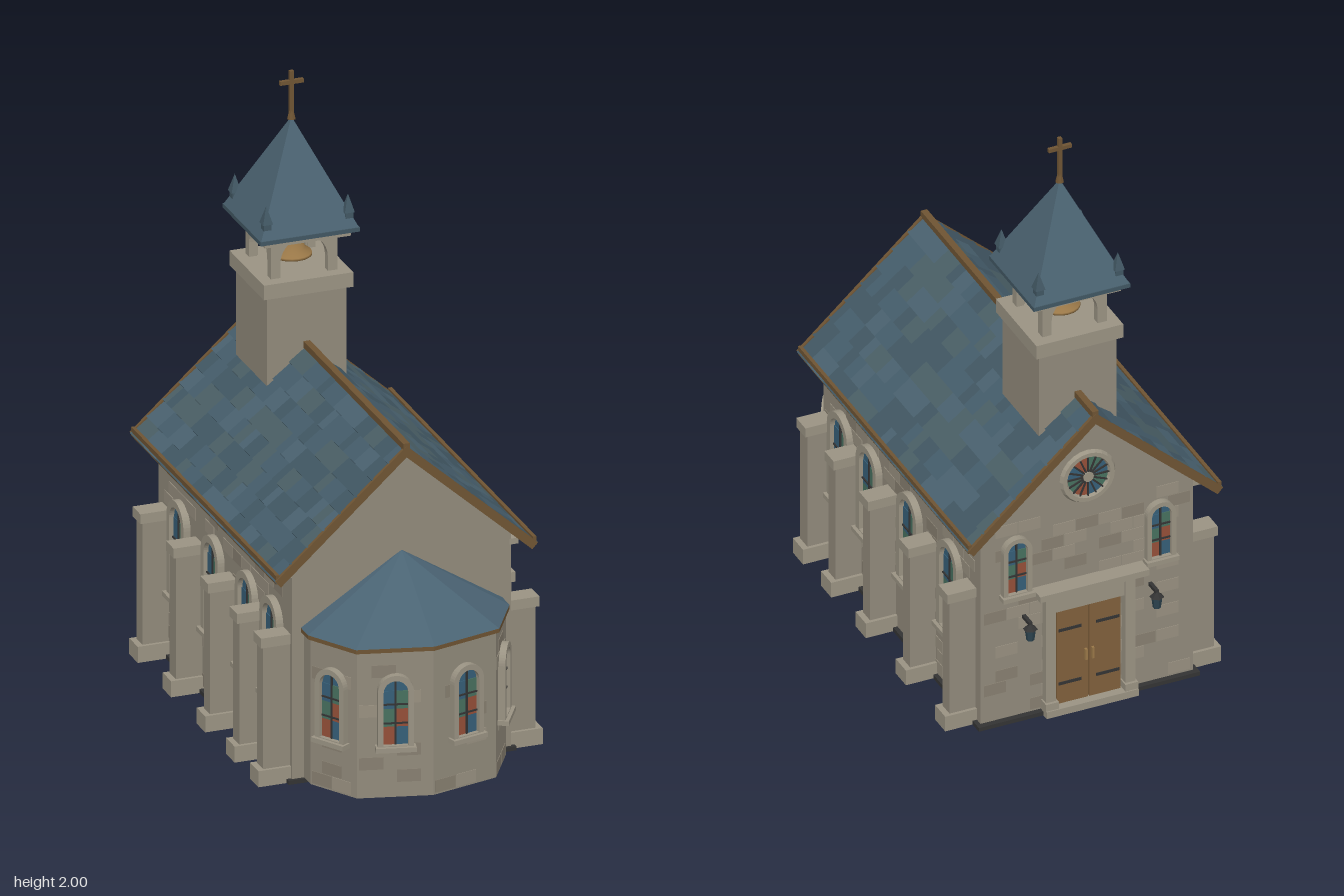
import * as THREE from 'three';
import { mergeGeometries } from 'three/addons/utils/BufferGeometryUtils.js';

const mat = (color, side = THREE.FrontSide) => new THREE.MeshStandardMaterial({ color, side, flatShading: true });
const STONE = mat(0x918a7b), TRIM = mat(0x9a9383), BRICKS = [mat(0x989080), mat(0x877f70)];
const SLATES = [0x455d6b, 0x4a6270, 0x415763, 0x4a5f66].map((c) => mat(c));
const DARK = mat(0x333333), WOOD = mat(0x6e5433), DOOR = mat(0x80603c), BRASS = mat(0x9a7848);
const GLASS = [0x365f78, 0x47705f, 0x944f38].map((c) => mat(c));

let seed = 7;
const rand = () => (seed = (seed * 16807) % 2147483647) / 2147483647;

function add(parent, name, geo, material, x = 0, y = 0, z = 0) {
  const m = new THREE.Mesh(geo, material);
  m.name = name;
  m.position.set(x, y, z);
  parent.add(m);
  return m;
}
const box = (p, name, material, w, h, d, x, y, z) => add(p, name, new THREE.BoxGeometry(w, h, d), material, x, y, z);
function group(parent, name, x = 0, y = 0, z = 0, ry = 0) {
  const g = new THREE.Group();
  g.name = name;
  g.position.set(x, y, z);
  g.rotation.y = ry;
  parent.add(g);
  return g;
}
const extrude = (shape, depth) => new THREE.ExtrudeGeometry(shape, { depth, bevelEnabled: false, curveSegments: 10 });

// Round-headed outline standing on y0
function arch(w, h, y0 = 0, C = THREE.Shape) {
  const r = w / 2, s = new C();
  s.moveTo(-r, y0).lineTo(r, y0).lineTo(r, y0 + h - r);
  s.absarc(0, y0 + h - r, r, 0, Math.PI, false);
  s.lineTo(-r, y0);
  return s;
}

// Upright prism from a plan of [x, z] points
function prism(plan, h) {
  const s = new THREE.Shape(plan.map(([x, z]) => new THREE.Vector2(x, -z)));
  return extrude(s, h).rotateX(-Math.PI / 2);
}

// Stained glass window facing local +z, standing on its sill
function archWindow(parent, w, h, x, y, z, ry) {
  const g = group(parent, 'archWindow', x, y, z, ry);
  const t = w * 0.16, iw = w - 2 * t, ih = h - t - 0.015;
  const frame = arch(w, h);
  frame.holes.push(arch(iw, ih, 0.015, THREE.Path));
  add(g, 'windowFrame', extrude(frame, 0.024), TRIM);
  add(g, 'windowGlass', extrude(arch(iw, ih, 0.015), 0.007), GLASS[0]);
  const ch = (ih - iw * 0.5) / 3;
  [[2, 0], [1, 2], [0, 1]].forEach((row, j) => row.forEach((c, i) =>
    box(g, 'glassPane', GLASS[c], iw / 2, ch, 0.003, (i - 0.5) * iw / 2, 0.015 + ch * (j + 0.5), 0.008)));
  box(g, 'mullion', DARK, 0.006, ih, 0.006, 0, 0.015 + ih / 2, 0.011);
  for (const f of [0.33, 0.62]) box(g, 'glazingBar', DARK, iw, 0.005, 0.006, 0, 0.015 + ih * f, 0.011);
  box(g, 'windowSill', TRIM, w * 1.12, 0.016, 0.036, 0, 0.004, 0.018);
}

// Scattered, slightly proud stones on a wall facing local +z
function brickwork(parent, w, h, x, z, ry) {
  const g = group(parent, 'brickwork', x, 0.02, z, ry);
  const sets = [[], []], rows = Math.floor(h / 0.045);
  for (let j = 0; j < rows; j++)
    for (let u = -w / 2 + (j % 2) * 0.04; u + 0.078 <= w / 2; u += 0.08)
      if (rand() < 0.45)
        sets[rand() < 0.5 ? 0 : 1].push(new THREE.BoxGeometry(0.077, 0.042, 0.004).translate(u + 0.04, 0.045 * (j + 0.5), 0));
  sets.forEach((s, i) => s.length && add(g, 'wallStones', mergeGeometries(s), BRICKS[i]));
}

function nave(root) {
  const s = new THREE.Shape();
  s.moveTo(-0.37, 0).lineTo(0.37, 0).lineTo(0.37, 0.745).lineTo(0, 1.085).lineTo(-0.37, 0.745);
  add(root, 'naveWalls', extrude(s, 1.17), STONE, 0, 0.005, -0.71);
  box(root, 'foundation', DARK, 0.77, 0.014, 1.2, 0, 0.007, -0.13);
  for (const k of [1, -1]) {
    const ry = k * Math.PI / 2;
    brickwork(root, 1.15, 0.7, k * 0.37, -0.125, ry);
    box(root, 'eaveCornice', TRIM, 0.03, 0.02, 1.17, k * 0.38, 0.715, -0.125);
    for (const z of [0.31, 0.095, -0.205, -0.505]) archWindow(root, 0.15, 0.35, k * 0.37, 0.232, z, ry);
    for (const z of [0.415, 0.205, -0.053, -0.352, -0.645]) {
      const b = group(root, 'buttress', k * 0.37, 0, z);
      box(b, 'buttressShaft', STONE, 0.09, 0.48, 0.054, k * 0.045, 0.24, 0);
      box(b, 'buttressCap', TRIM, 0.1, 0.034, 0.068, k * 0.05, 0.49, 0);
      box(b, 'buttressBase', TRIM, 0.11, 0.055, 0.076, k * 0.055, 0.0275, 0);
    }
  }
}

function naveRoof(root) {
  const a = Math.atan2(0.395, 0.44), L = 0.59, len = 1.27, n = 8, step = L / n;
  for (const ry of [0, Math.PI]) {
    const side = group(root, 'roofSide', 0, 1.112, -0.135, ry);
    const g = group(side, 'roofSlope');
    g.rotation.z = -a;
    box(g, 'roofBoards', WOOD, L, 0.014, len - 0.01, L / 2, -0.017, 0);
    const sets = SLATES.map(() => []);
    for (let i = 0; i < n; i++)
      for (let z = -len / 2; z < len / 2 - 0.001;) {
        let w = 0.04 + rand() * 0.06;
        if (z + w > len / 2 - 0.03) w = len / 2 - z;
        const t = new THREE.BoxGeometry(step + 0.008, 0.01, w).rotateZ(0.09);
        sets[Math.floor(rand() * 4)].push(t.translate((i + 0.5) * step, -0.004, z + w / 2));
        z += w;
      }
    sets.forEach((s, i) => add(g, 'slates', mergeGeometries(s), SLATES[i]));
    for (const z of [-1, 1]) box(g, 'rakeBoard', WOOD, L + 0.004, 0.028, 0.012, L / 2, -0.01, z * len / 2);
    box(side, 'eaveBoard', WOOD, 0.012, 0.03, len, 0.434, 0.724 - 1.112, 0);
  }
  box(root, 'ridgeBeam', WOOD, 0.022, 0.022, 1.28, 0, 1.116, -0.135);
}

function apse(root) {
  const half = [[0.33, 0.44], [0.33, 0.52], [0.235, 0.68]];
  const mirror = (h, front) => [...h, [0, front], ...h.map(([x, z]) => [-x, z]).reverse()];
  const plan = mirror(half, 0.74);
  add(root, 'apseWalls', prism(plan, 0.505), STONE, 0, 0.015, 0);
  const eave = mirror([[0.34, 0.44], [0.34, 0.525], [0.242, 0.69]], 0.752);
  add(root, 'apseCornice', prism(eave, 0.014), WOOD, 0, 0.515, 0);
  // Faceted roof fanning from the apex
  const v = [];
  for (let i = 0; i + 1 < eave.length; i++) {
    const [p, q] = [eave[i], eave[i + 1]];
    v.push(0, 0.745, 0.462, q[0], 0.529, q[1], p[0], 0.529, p[1]);
  }
  const geo = new THREE.BufferGeometry();
  geo.setAttribute('position', new THREE.Float32BufferAttribute(v, 3));
  geo.computeVertexNormals();
  add(root, 'apseRoof', geo, mat(0x4a6373, THREE.DoubleSide));
  // A window in each angled face
  for (let i = 1; i < 5; i++) {
    const [p, q] = [plan[i], plan[i + 1]];
    const dx = p[0] - q[0], dz = p[1] - q[1], ry = Math.atan2(-dz, dx);
    const x = (p[0] + q[0]) / 2, z = (p[1] + q[1]) / 2;
    brickwork(root, Math.hypot(dx, dz) - 0.01, 0.49, x, z, ry);
    archWindow(root, 0.115, 0.255, x, 0.185, z, ry);
  }
}

// Entrance end, built facing +z and turned to the back
function entrance(root) {
  const g = group(root, 'entranceFront', 0, 0, -0.71, Math.PI);
  brickwork(g, 0.72, 0.72, 0, 0, 0);
  for (const k of [1, -1]) {
    archWindow(g, 0.1, 0.22, k * 0.25, 0.47, 0, 0);
    box(g, 'doorPillar', TRIM, 0.035, 0.45, 0.03, k * 0.138, 0.225, 0.015);
    box(g, 'pillarBase', TRIM, 0.045, 0.05, 0.04, k * 0.138, 0.025, 0.02);
    box(g, 'doorLeaf', DOOR, 0.108, 0.36, 0.014, k * 0.056, 0.2, 0.007);
    for (const y of [0.1, 0.3]) box(g, 'doorStrap', DARK, 0.08, 0.01, 0.004, k * 0.066, y, 0.015);
    box(g, 'doorHandle', BRASS, 0.008, 0.04, 0.012, k * 0.012, 0.19, 0.018);
    const l = group(g, 'lantern', k * 0.22, 0.345, 0.05);
    box(l, 'lanternBracket', DARK, 0.012, 0.012, 0.055, 0, 0.035, -0.025);
    add(l, 'lanternBody', new THREE.CylinderGeometry(0.018, 0.013, 0.04, 6), mat(0x2c4450), 0, -0.005, 0);
    add(l, 'lanternCap', new THREE.ConeGeometry(0.024, 0.02, 6), DARK, 0, 0.025, 0);
  }
  box(g, 'doorTransom', TRIM, 0.25, 0.075, 0.024, 0, 0.415, 0.012);
  box(g, 'doorLintel', TRIM, 0.38, 0.022, 0.06, 0, 0.465, 0.03);
  box(g, 'doorstep', TRIM, 0.32, 0.025, 0.045, 0, 0.0125, 0.022);
  // Rose window
  const r = group(g, 'roseWindow', 0, 0.85, 0.004);
  add(r, 'roseFrame', new THREE.TorusGeometry(0.083, 0.014, 6, 24), TRIM);
  for (let i = 0; i < 8; i++) {
    add(r, 'rosePane', new THREE.CircleGeometry(0.08, 4, i * Math.PI / 4, Math.PI / 4), GLASS[i % 3], 0, 0, 0.002);
    box(r, 'roseSpoke', DARK, 0.16, 0.005, 0.006, 0, 0, 0.004).rotation.z = i * Math.PI / 8;
  }
  add(r, 'roseHub', new THREE.CylinderGeometry(0.018, 0.018, 0.012, 12).rotateX(Math.PI / 2), TRIM, 0, 0, 0.004);
}

function tower(root) {
  const g = group(root, 'bellTower', 0, 0, -0.507);
  box(g, 'towerShaft', STONE, 0.27, 0.31, 0.27, 0, 1.145, 0);
  box(g, 'towerCap', TRIM, 0.302, 0.05, 0.302, 0, 1.32, 0);
  // Open belfry: four arched sides meeting at corner posts
  const s = new THREE.Shape();
  s.moveTo(-0.112, 1.345).lineTo(-0.08, 1.345).lineTo(-0.08, 1.395);
  s.absarc(0, 1.395, 0.08, Math.PI, 0, true);
  s.lineTo(0.08, 1.345).lineTo(0.112, 1.345).lineTo(0.112, 1.48).lineTo(-0.112, 1.48);
  for (let i = 0; i < 4; i++) {
    const f = group(g, 'belfrySide', 0, 0, 0, i * Math.PI / 2);
    add(f, 'belfryArch', extrude(s, 0.026), TRIM, 0, 0, 0.086);
    const p = group(f, 'pinnacle', 0.138, 1.53, 0.138);
    box(p, 'pinnacleBase', SLATES[2], 0.026, 0.05, 0.026, 0, 0, 0);
    add(p, 'pinnacleSpire', new THREE.ConeGeometry(0.024, 0.06, 4, 1, false, Math.PI / 4), SLATES[2], 0, 0.052, 0);
  }
  box(g, 'belfryCornice', TRIM, 0.29, 0.02, 0.29, 0, 1.479, 0);
  box(g, 'spireEave', SLATES[2], 0.336, 0.014, 0.336, 0, 1.496, 0);
  add(g, 'spire', new THREE.ConeGeometry(0.165 * Math.SQRT2, 0.34, 4, 1, false, Math.PI / 4), SLATES[1], 0, 1.673, 0);
  // Bell
  const profile = [[0.001, 1.442], [0.025, 1.438], [0.037, 1.42], [0.043, 1.395], [0.065, 1.38], [0.066, 1.372], [0.05, 1.374]]
    .map(([x, y]) => new THREE.Vector2(x, y)).reverse();
  const brass = mat(0x9a7848, THREE.DoubleSide);
  brass.flatShading = false;
  add(g, 'bell', new THREE.LatheGeometry(profile, 20), brass);
  add(g, 'bellHanger', new THREE.CylinderGeometry(0.006, 0.006, 0.12, 6), DARK, 0, 1.415, 0);
  // Cross
  add(g, 'finial', new THREE.CylinderGeometry(0.007, 0.014, 0.03, 8), WOOD, 0, 1.85, 0);
  box(g, 'crossPost', WOOD, 0.013, 0.15, 0.013, 0, 1.925, 0);
  box(g, 'crossArm', WOOD, 0.08, 0.013, 0.013, 0, 1.962, 0);
}

export function createModel() {
  const root = new THREE.Group();
  root.name = 'chapel';
  [nave, naveRoof, apse, entrance, tower].forEach((build) => build(root));
  return root;
}
